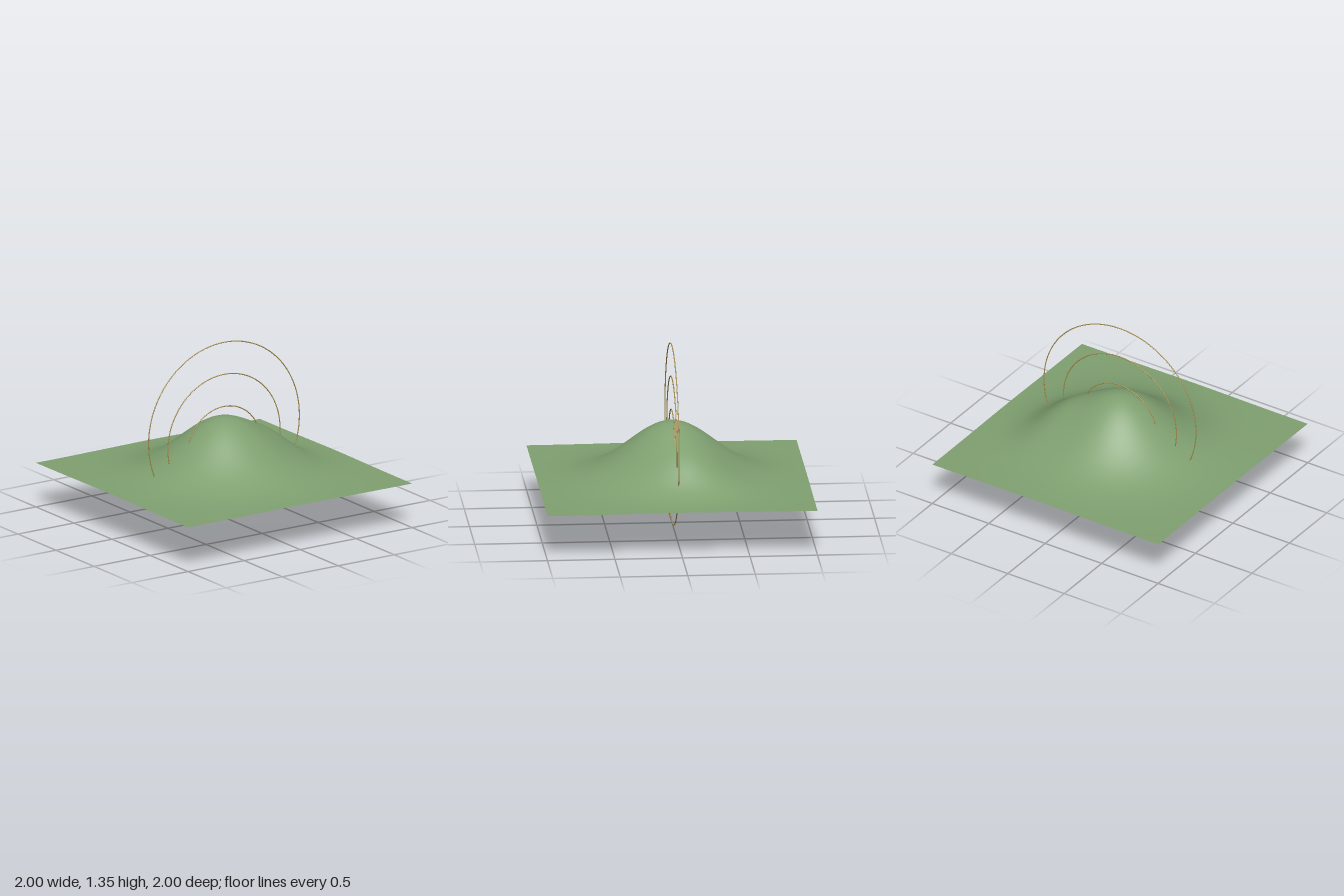
import * as THREE from 'three';

// Height of the hill: one broad peak with a small shoulder on its left flank
function height(x, z) {
  const peak = 0.438 * Math.exp(-(x * x + z * z) / 0.227);
  const shoulder = 0.085 * Math.exp(-((x - 0.46) ** 2) / 0.045 - ((z + 0.13) ** 2) / 0.097);
  return 0.34 + peak + shoulder;
}

export function createModel() {
  const group = new THREE.Group();

  // Thin sheet of ground raised into a hill
  const ground = new THREE.PlaneGeometry(2, 2, 80, 80).rotateX(-Math.PI / 2);
  const p = ground.attributes.position;
  for (let i = 0; i < p.count; i++) p.setY(i, height(p.getX(i), p.getZ(i)));
  ground.computeVertexNormals();
  const hill = new THREE.Mesh(ground, new THREE.MeshStandardMaterial({ color: 0x7fa070, side: THREE.DoubleSide }));
  hill.name = 'hillSurface';
  group.add(hill);

  // Four upright wire rings, growing and rising outwards
  const wire = new THREE.MeshStandardMaterial({ color: 0xa88f50 });
  const rings = new THREE.Group();
  rings.name = 'rings';
  for (let i = 0; i < 4; i++) {
    const ring = new THREE.Mesh(new THREE.TorusGeometry(0.156 + i * 0.1723, 0.004, 8, 96), wire);
    ring.position.y = 0.452 + i * 0.075;
    ring.name = `ring${i + 1}`;
    rings.add(ring);
  }
  group.add(rings);

  return group;
}
